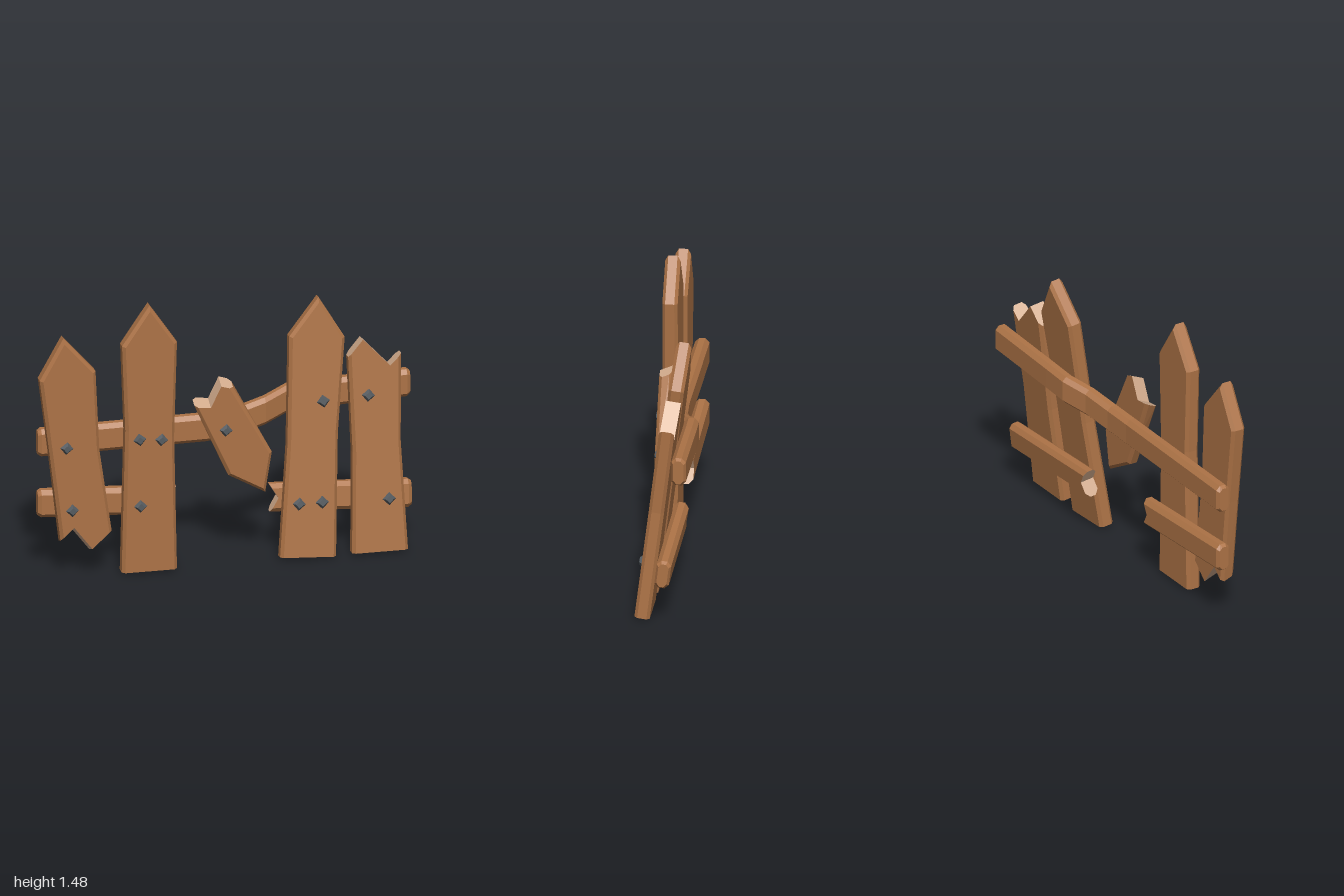
import * as THREE from 'three';

const BEVEL = 0, FLAT = 1, BROKEN = 2; // kinds of plank edge
const LEAN = -0.123;

// Flat-shaded mesh from a list of wood triangles and a list of torn triangles
function woodMesh(name, tris, torn, mats) {
  const geo = new THREE.BufferGeometry();
  const pts = [...tris, ...torn];
  geo.setAttribute('position', new THREE.Float32BufferAttribute(pts.flat(), 3));
  geo.addGroup(0, tris.length, 0);
  if (torn.length) geo.addGroup(tris.length, torn.length, 1);
  geo.computeVertexNormals();
  const mesh = new THREE.Mesh(geo, mats);
  mesh.name = name;
  return mesh;
}

const quad = (list, a, b, c, d) => list.push(a, b, c, a, c, d);

// Plank: outline points [x, y, kind of the edge that follows], counter-clockwise.
// Only BEVEL edges are chamfered; tear slants the broken ends from front to back.
function plank(name, outline, mats, tear = 0, half = 0.04, bevel = 0.016) {
  const n = outline.length;
  const normals = outline.map(([x, y], i) => {
    const [x2, y2] = outline[(i + 1) % n];
    const l = Math.hypot(x2 - x, y2 - y);
    return [-(y2 - y) / l, (x2 - x) / l];
  });
  const inset = outline.map(([x, y, kind], i) => {
    const p = (i + n - 1) % n, [ax, ay] = normals[p], [bx, by] = normals[i];
    const da = outline[p][2] === BEVEL ? bevel : 0, db = kind === BEVEL ? bevel : 0;
    const det = ax * by - ay * bx;
    return [x + (da * by - db * ay) / det, y + (ax * db - bx * da) / det];
  });
  const ring = (pts, z) => pts.map(([x, y], i) => {
    const torn = outline[i][2] === BROKEN || outline[(i + n - 1) % n][2] === BROKEN;
    return [x, y + (torn ? tear * (half - z) / (2 * half) : 0), z];
  });
  const rings = [ring(inset, half), ring(outline, half - bevel),
    ring(outline, bevel - half), ring(inset, -half)];
  const wood = [], torn = [];
  for (let r = 0; r < 3; r++) {
    for (let i = 0; i < n; i++) {
      const j = (i + 1) % n, A = rings[r], B = rings[r + 1];
      quad(outline[i][2] === BROKEN ? torn : wood, A[i], B[i], B[j], A[j]);
    }
  }
  for (const [face, flip] of [[rings[0], false], [rings[3], true]]) {
    const flat = face.map(([x, y]) => new THREE.Vector2(x, y));
    for (const [a, b, c] of THREE.ShapeUtils.triangulateShape(flat, [])) {
      wood.push(face[a], face[flip ? c : b], face[flip ? b : c]);
    }
  }
  return woodMesh(name, wood, torn, mats);
}

// Rail: chamfered bar through stations [x, y, z], running towards +x.
// A torn end gets a notch, a whole end gets a small chamfer.
function rail(name, path, mats, tornStart = false, tornEnd = false) {
  const h = 0.075, d = 0.038, c = 0.022;
  const rows = [[h, d - c], [h - c, d], [0, d], [c - h, d], [-h, d - c]];
  const section = [...rows, ...rows.map(([y, z]) => [y, -z]).reverse()];
  const ring = ([x, y, z], s = 1, notch = 0) => section.map(([sy, sz]) =>
    [x + notch * (1 - Math.abs(sy) / h), y + sy * (s < 1 ? 0.84 : 1), z + sz * s]);
  const last = path.length - 1, rings = [];
  path.forEach((p, i) => {
    const [x, y, z] = p;
    if (i === 0 && tornStart) rings.push(ring(p, 1, 0.045));
    else if (i === last && tornEnd) rings.push(ring(p, 1, -0.04));
    else if (i === 0) rings.push(ring(p, 0.7), ring([x + 0.018, y, z]));
    else if (i === last) rings.push(ring([x - 0.018, y, z]), ring(p, 0.7));
    else rings.push(ring(p));
  });
  const wood = [], torn = [], n = section.length;
  for (let r = 0; r < rings.length - 1; r++) {
    for (let i = 0; i < n; i++) {
      const j = (i + 1) % n, A = rings[r], B = rings[r + 1];
      quad(wood, A[i], A[j], B[j], B[i]);
    }
  }
  const S = rings[0], E = rings[rings.length - 1];
  for (let i = 0; i < 4; i++) {
    quad(tornStart ? torn : wood, S[i], S[n - 1 - i], S[n - 2 - i], S[i + 1]);
    quad(tornEnd ? torn : wood, E[i], E[i + 1], E[n - 2 - i], E[n - 1 - i]);
  }
  return woodMesh(name, wood, torn, mats);
}

export function createModel() {
  const wood = new THREE.MeshStandardMaterial({ color: 0xad7346 });
  wood.name = 'wood';
  const pale = new THREE.MeshStandardMaterial({ color: 0xd2ab8c });
  pale.name = 'torn wood';
  const iron = new THREE.MeshStandardMaterial({ color: 0x555b60 });
  iron.name = 'iron';
  const mats = [wood, pale];

  const model = new THREE.Group();
  model.name = 'brokenFence';
  const upright = new THREE.Group();
  upright.name = 'uprightPart';
  const leaning = new THREE.Group();
  leaning.name = 'leaningPart';
  upright.position.z = leaning.position.z = 0.09;
  leaning.rotation.x = LEAN;
  model.add(upright, leaning);

  // Upright planks
  upright.add(plank('endPlank', [
    [-0.89, 0.225, BROKEN], [-0.82, 0.29, BROKEN], [-0.725, 0.165, BROKEN],
    [-0.62, 0.26, BEVEL], [-0.685, 0.71, BEVEL], [-0.705, 1.145, BEVEL],
    [-0.875, 1.34, BEVEL], [-1, 1.115, BEVEL], [-0.945, 0.68, BEVEL]], mats, -0.03));
  upright.add(plank('tallPlank', [
    [-0.567, 0.015, FLAT], [-0.275, 0.015, BEVEL], [-0.29, 0.75, BEVEL],
    [-0.275, 1.27, BEVEL], [-0.42, 1.485, BEVEL], [-0.565, 1.27, BEVEL],
    [-0.548, 0.8, BEVEL]], mats));
  const hanging = plank('hangingPlank', [
    [0, 0.5, BEVEL], [0.195, 0.39, BEVEL], [0.23, 0.61, BEVEL], [0.025, 0.98, BROKEN],
    [-0.04, 1.0, BROKEN], [-0.095, 0.885, BROKEN], [-0.18, 0.895, BEVEL],
    [-0.095, 0.71, BEVEL]], mats, 0.03, 0.035);
  hanging.position.z = -0.015;
  upright.add(hanging);

  // Leaning planks
  leaning.add(plank('leaningTallPlank', [
    [0.27, 0.022, FLAT], [0.565, 0.006, BEVEL], [0.592, 0.66, BEVEL],
    [0.642, 1.17, BEVEL], [0.51, 1.393, BEVEL], [0.35, 1.195, BEVEL],
    [0.325, 0.62, BEVEL]], mats));
  leaning.add(plank('leaningBrokenPlank', [
    [0.65, 0.013, FLAT], [0.945, 0.013, BEVEL], [0.922, 0.6, BEVEL],
    [0.937, 1.06, BROKEN], [0.875, 1.0, BROKEN], [0.735, 1.15, BROKEN],
    [0.657, 1.06, BEVEL], [0.667, 0.55, BEVEL]], mats));

  // Rails behind the planks
  model.add(rail('topRail', [
    [-0.99, 0.733, 0.004], [-0.1, 0.742, 0.004], [0.06, 0.755, -0.008],
    [0.22, 0.79, -0.042], [0.35, 0.825, -0.1], [0.5, 0.835, -0.104], [1, 0.855, -0.108]], mats));
  model.add(rail('lowerLeftRail', [[-0.99, 0.395, 0.004], [-0.26, 0.358, 0.004]],
    mats, false, true));
  leaning.add(rail('lowerRightRail', [[0.24, 0.322, -0.08], [0.99, 0.287, -0.08]],
    mats, true, false));

  // Square bolt heads
  const boltGeo = new THREE.CylinderGeometry(0.02, 0.036, 0.018, 4).toNonIndexed();
  boltGeo.rotateX(Math.PI / 2);
  boltGeo.computeVertexNormals();
  const bolts = (group, spots, z = 0.048) => spots.forEach(([x, y], i) => {
    const bolt = new THREE.Mesh(boltGeo, iron);
    bolt.name = 'bolt';
    bolt.position.set(x, y, z);
    bolt.rotation.z = ((i % 3) - 1) * 0.12;
    group.add(bolt);
  });
  bolts(upright, [[-0.86, 0.735], [-0.83, 0.387], [-0.475, 0.75], [-0.36, 0.74], [-0.47, 0.38]]);
  bolts(upright, [[-0.015, 0.755]], 0.028);
  bolts(leaning, [[0.375, 0.302], [0.497, 0.302], [0.517, 0.84], [0.755, 0.852], [0.85, 0.292]]);

  return model;
}
